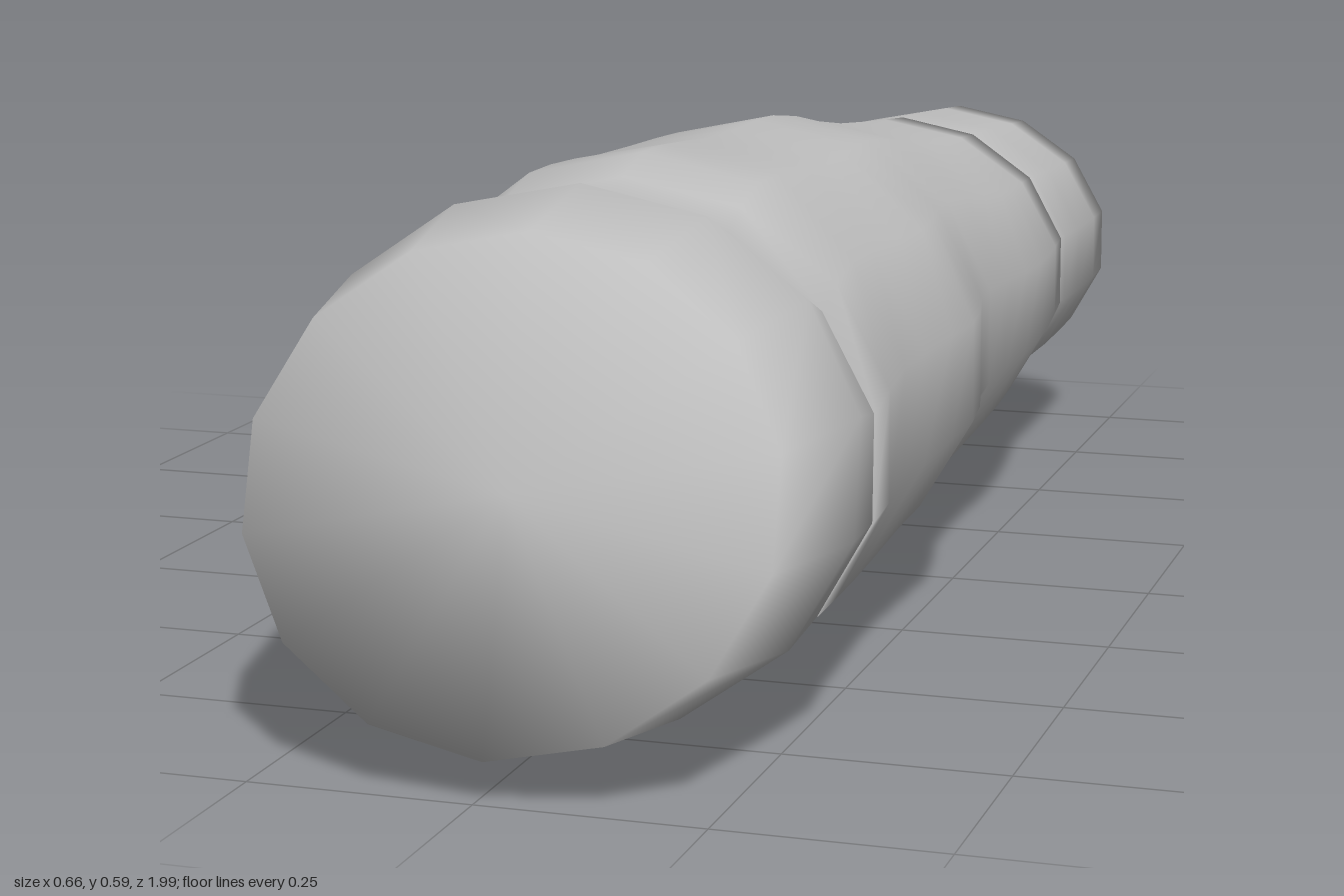
import * as THREE from 'three';

const SIDES = 14;

// Smooth loft through oval rings, listed from front to back.
// Ring: [z, top y, bottom y, min x, max x, z lean of the top]
function loft(name, rings, material, capFront, capBack) {
  const pos = [], index = [];
  const widest = Math.sin(Math.PI * 2 * 3 / SIDES);
  for (const [z, top, bottom, x0, x1, lean = 0] of rings) {
    for (let i = 0; i < SIDES; i++) {
      const a = (i / SIDES) * Math.PI * 2;
      pos.push(
        (x0 + x1) / 2 + ((x1 - x0) / 2) * Math.sin(a) / widest,
        (top + bottom) / 2 + ((top - bottom) / 2) * Math.cos(a),
        z + lean * Math.cos(a));
    }
  }
  for (let r = 0; r < rings.length - 1; r++) {
    for (let i = 0; i < SIDES; i++) {
      const j = (i + 1) % SIDES;
      const a = r * SIDES + i, b = r * SIDES + j;
      index.push(a, b, a + SIDES, b, b + SIDES, a + SIDES);
    }
  }
  // End faces share the rim so the shading rolls over the edge
  const cap = (r, front) => {
    const [z, top, bottom, x0, x1] = rings[r];
    const c = pos.length / 3;
    pos.push((x0 + x1) / 2, (top + bottom) / 2, z);
    for (let i = 0; i < SIDES; i++) {
      const a = r * SIDES + i, b = r * SIDES + (i + 1) % SIDES;
      if (front) index.push(c, b, a);
      else index.push(c, a, b);
    }
  };
  if (capFront) cap(0, true);
  if (capBack) cap(rings.length - 1, false);

  const geometry = new THREE.BufferGeometry();
  geometry.setAttribute('position', new THREE.Float32BufferAttribute(pos, 3));
  geometry.setIndex(index);
  geometry.computeVertexNormals();
  const mesh = new THREE.Mesh(geometry, material);
  mesh.name = name;
  return mesh;
}

export function createModel() {
  const group = new THREE.Group();
  group.name = 'limbSegment';
  const grey = new THREE.MeshStandardMaterial({ color: 0xbfbfbf, side: THREE.DoubleSide });
  grey.name = 'plain grey';

  // Front end piece with a slanted face
  group.add(loft('frontCuff', [
    [0.925, 0.567, 0.05, -0.275, 0.298, -0.075],
    [0.75, 0.595, 0.02, -0.31, 0.332, -0.055],
    [0.615, 0.555, 0.02, -0.292, 0.312, -0.012],
    [0.57, 0.54, 0.03, -0.28, 0.298],
  ], grey, true, false));

  // Long swelling middle
  group.add(loft('sleeve', [
    [0.616, 0.556, 0.02, -0.298, 0.314, -0.012],
    [0.54, 0.58, 0.011, -0.304, 0.31],
    [0.46, 0.597, 0.004, -0.308, 0.306],
    [0.38, 0.595, 0.012, -0.315, 0.308],
    [0.28, 0.587, 0.031, -0.327, 0.315],
    [0.19, 0.579, 0.041, -0.332, 0.319],
    [0.1, 0.578, 0.041, -0.316, 0.306],
    [0.02, 0.579, 0.038, -0.296, 0.288],
    [-0.05, 0.577, 0.038, -0.288, 0.282],
    [-0.15, 0.564, 0.046, -0.286, 0.281],
    [-0.25, 0.545, 0.06, -0.284, 0.283],
    [-0.35, 0.53, 0.069, -0.278, 0.28],
    [-0.45, 0.52, 0.073, -0.263, 0.27],
    [-0.56, 0.51, 0.075, -0.243, 0.255],
    [-0.66, 0.501, 0.08, -0.228, 0.242],
  ], grey, true, true));

  // Back end piece, slightly tapered
  group.add(loft('backCuff', [
    [-0.64, 0.495, 0.09, -0.225, 0.24],
    [-0.662, 0.502, 0.085, -0.23, 0.247],
    [-0.76, 0.496, 0.084, -0.229, 0.246],
    [-0.9, 0.486, 0.085, -0.221, 0.24],
    [-0.99, 0.479, 0.086, -0.214, 0.234],
  ], grey, false, true));

  return group;
}
